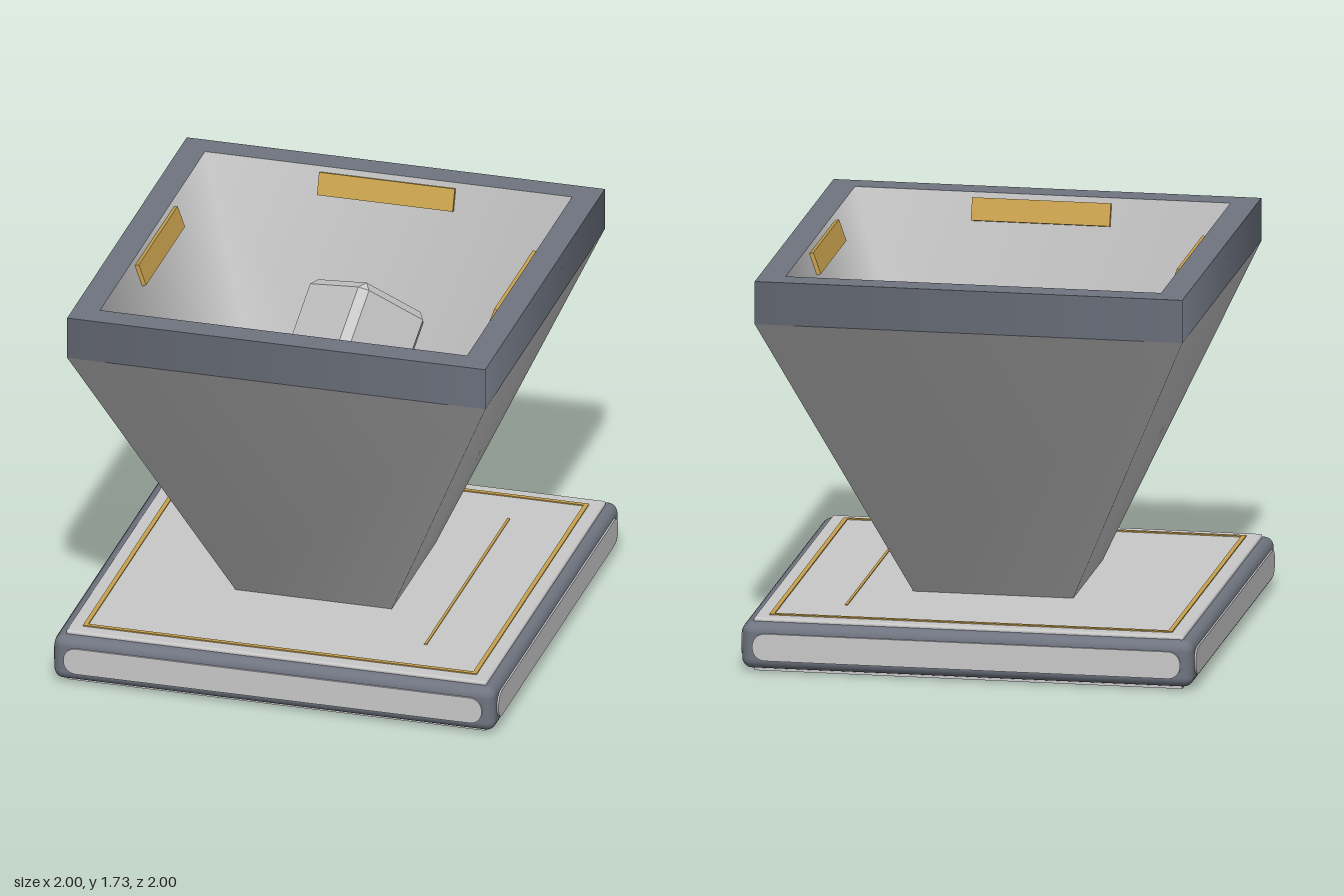
import * as THREE from 'three';
import { RoundedBoxGeometry } from 'three/addons/geometries/RoundedBoxGeometry.js';
import { ConvexGeometry } from 'three/addons/geometries/ConvexGeometry.js';

export function createModel() {
  const model = new THREE.Group();
  const material = (name, color) => {
    const m = new THREE.MeshStandardMaterial({ color });
    m.name = name;
    return m;
  };
  const lightGrey = material('light grey', 0xc8c8c8);
  lightGrey.side = THREE.DoubleSide;
  const slate = material('slate', 0x6f7480);
  const gold = material('gold', 0xc9a24d);

  const add = (name, geometry, mat, x = 0, y = 0, z = 0, parent = model) => {
    const mesh = new THREE.Mesh(geometry, mat);
    mesh.name = name;
    mesh.position.set(x, y, z);
    parent.add(mesh);
    return mesh;
  };

  // Base: rounded frame with inset plates above and below
  add('baseFrame', new RoundedBoxGeometry(1.985, 0.205, 1.985, 3, 0.045), slate, 0, 0.1175, 0);
  add('topPlate', new RoundedBoxGeometry(1.89, 0.04, 1.89, 2, 0.01), lightGrey, 0, 0.215, 0);
  add('bottomPlate', new THREE.BoxGeometry(1.88, 0.03, 1.88), lightGrey, 0, 0.015, 0);

  // Rounded panel for each side of the base
  const w = 0.94, h = 0.06, r = 0.055;
  const outline = new THREE.Shape();
  outline.absarc(w - r, h - r, r, 0, Math.PI / 2);
  outline.absarc(-w + r, h - r, r, Math.PI / 2, Math.PI);
  outline.absarc(-w + r, -h + r, r, Math.PI, Math.PI * 1.5);
  outline.absarc(w - r, -h + r, r, Math.PI * 1.5, Math.PI * 2);
  const panel = new THREE.ExtrudeGeometry(outline, { depth: 0.03, bevelEnabled: false, curveSegments: 6 });

  // Parts that repeat on all four sides
  const tilt = Math.atan2(0.52, 1.495);
  for (let i = 0; i < 4; i++) {
    const side = new THREE.Group();
    side.name = 'side' + (i + 1);
    side.rotation.y = i * Math.PI / 2;
    model.add(side);
    add('sidePanel', panel, lightGrey, 0, 0.117, 0.97, side);
    add('baseTrim', new THREE.BoxGeometry(1.77, 0.009, 0.02), gold, 0, 0.2355, 0.875, side);
    const bar = add('innerBar', new THREE.BoxGeometry(0.61, 0.1, 0.026), gold, 0, 1.66, 0.795, side);
    bar.rotation.x = tilt;
  }
  add('baseStripe', new THREE.BoxGeometry(0.012, 0.008, 1.31), gold, 0.59, 0, 0).position.y = 0.235;

  // Square funnel made of four-sided walls with softened corners
  const wall = (top, bottom, y0, y1) => {
    const g = new THREE.CylinderGeometry(top * Math.SQRT2, bottom * Math.SQRT2, y1 - y0, 4, 1, true, Math.PI / 4);
    return g.translate(0, (y0 + y1) / 2, 0);
  };
  add('funnelOuter', wall(0.94, 0.347, 0.225, 1.54), lightGrey);
  add('funnelInner', wall(0.825, 0.305, 0.235, 1.73), lightGrey);
  add('rimSide', wall(0.94, 0.94, 1.54, 1.73), slate);
  const rimTop = new THREE.RingGeometry(0.825 * Math.SQRT2, 0.94 * Math.SQRT2, 4, 1, Math.PI / 4);
  add('rimTop', rimTop.rotateX(-Math.PI / 2), slate, 0, 1.73, 0);

  // Chamfered cubes tumbling inside the funnel
  const a = 0.2, b = 0.165, points = [];
  for (const x of [-1, 1]) for (const y of [-1, 1]) for (const z of [-1, 1]) {
    points.push(
      new THREE.Vector3(x * a, y * b, z * b),
      new THREE.Vector3(x * b, y * a, z * b),
      new THREE.Vector3(x * b, y * b, z * a));
  }
  const cube = new ConvexGeometry(points);
  // Each cube: centre, then the x and z rows of its rotation
  const cubes = [
    [[0, 1.19, -0.29], [0.575, 0.8, -0.15], [-0.55, 0.5, 0.65]],
    [[0.265, 0.85, 0.185], [0.75, 0.625, -0.075], [-0.35, 0.475, 0.8]],
    [[-0.2, 0.7, -0.11], [0.95, 0.08, 0.28], [-0.2, 0.95, 0.25]],
  ];
  cubes.forEach(([centre, rowX, rowZ], i) => {
    const x = new THREE.Vector3(...rowX).normalize();
    const y = new THREE.Vector3(...rowZ).cross(x).normalize();
    const z = new THREE.Vector3().crossVectors(x, y);
    const turn = new THREE.Matrix4().makeBasis(x, y, z).transpose();
    add('cube' + (i + 1), cube, lightGrey, ...centre).quaternion.setFromRotationMatrix(turn);
  });

  return model;
}
